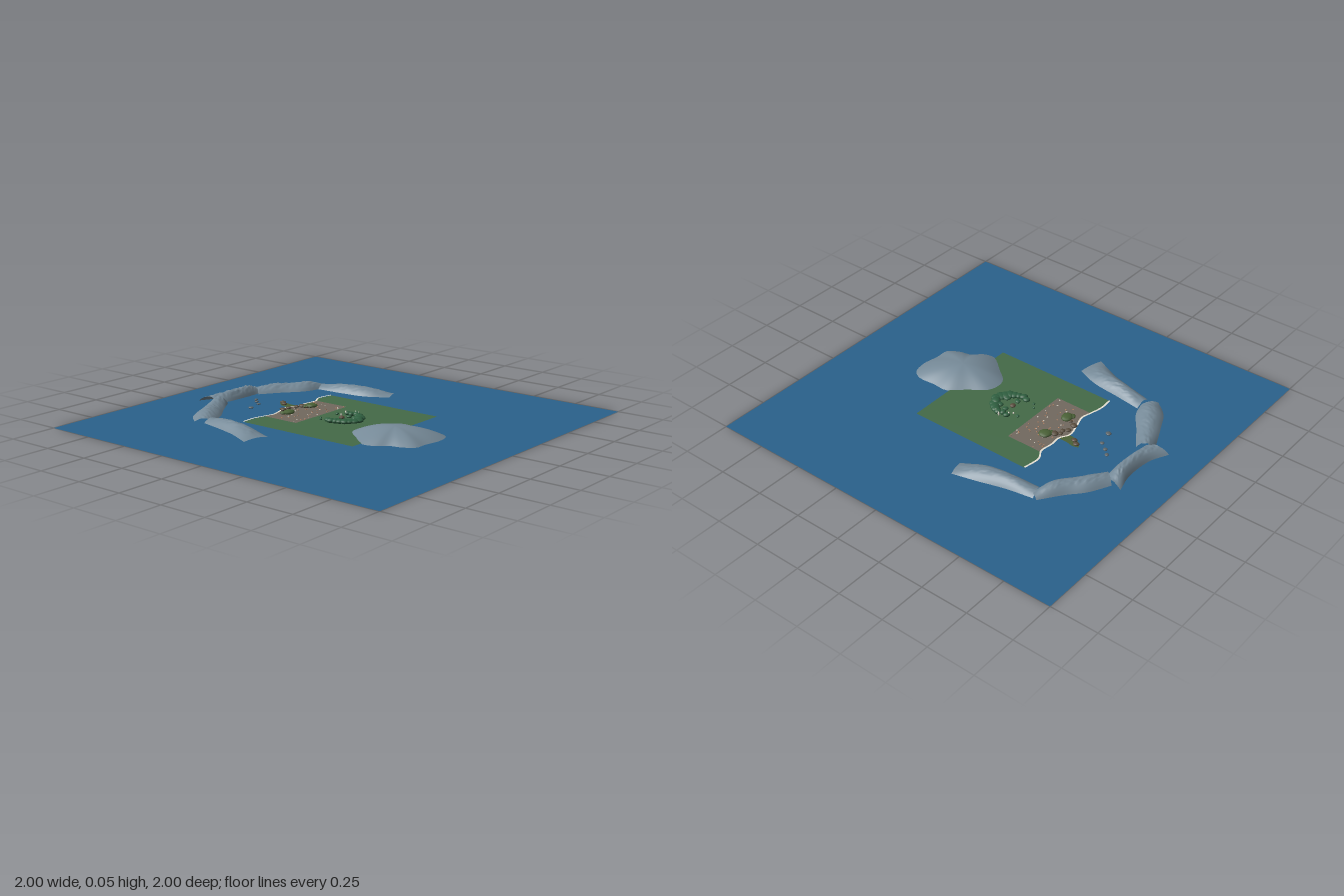
import * as THREE from 'three';

const paint = (name, color, side = THREE.FrontSide) => {
  const m = new THREE.MeshStandardMaterial({ color, side });
  m.name = name;
  return m;
};

export function createModel() {
  const model = new THREE.Group();
  model.name = 'coastalIsland';
  const D = THREE.DoubleSide;
  const sea = paint('seaBlue', 0x2a628c, D);
  const grass = paint('grassGreen', 0x446a48, D);
  const gravel = paint('gravelGrey', 0x72695f, D);
  const foam = paint('foamCream', 0xeee8da, D);
  const slate = paint('slateGrey', 0x768a98, D);
  const leaf = paint('bushGreen', 0x2f5f40);
  const moss = paint('mossGreen', 0x4a6136);
  const brown = paint('stoneBrown', 0x594c3c);
  const pebble = paint('pebbleGrey', 0x5c6468);
  const coral = paint('shellCoral', 0xc08a68);

  let seed = 7;
  const rand = () => (seed = (seed * 16807) % 2147483647) / 2147483647;

  const add = (name, geometry, material, parent = model) => {
    const mesh = new THREE.Mesh(geometry, material);
    mesh.name = name;
    parent.add(mesh);
    return mesh;
  };
  const group = (name) => {
    const g = new THREE.Group();
    g.name = name;
    model.add(g);
    return g;
  };
  // flat ground patch drawn in plan (x, z) at height y
  const patch = (name, points, y, material) => {
    const shape = new THREE.Shape(points.map(([x, z]) => new THREE.Vector2(x, -z)));
    return add(name, new THREE.ShapeGeometry(shape).rotateX(-Math.PI / 2).translate(0, y, 0), material);
  };
  // grid surface from rows of [x, y, z] points
  const surface = (rows) => {
    const n = rows[0].length, index = [];
    for (let i = 0; i < rows.length - 1; i++)
      for (let j = 0; j < n - 1; j++) {
        const a = i * n + j, b = a + n;
        index.push(a, a + 1, b, a + 1, b + 1, b);
      }
    const g = new THREE.BufferGeometry();
    g.setAttribute('position', new THREE.Float32BufferAttribute(rows.flat(2), 3));
    g.setIndex(index);
    g.computeVertexNormals();
    return g;
  };

  // sea
  add('sea', new THREE.PlaneGeometry(2, 2).rotateX(-Math.PI / 2), sea);

  // wavy shoreline shared by the lawn, beach and foam
  const shore = new THREE.CatmullRomCurve3([
    [-0.343, -0.347], [-0.27, -0.35], [-0.2, -0.335], [-0.145, -0.322], [-0.07, -0.342], [0.005, -0.358],
    [0.06, -0.332], [0.12, -0.334], [0.19, -0.326], [0.245, -0.353], [0.34, -0.342],
  ].map(([x, z]) => new THREE.Vector3(x, 0, z))).getPoints(60).map((p) => [p.x, p.z]);
  patch('lawn', [[-0.343, 0.34], ...shore, [0.34, 0.34]], 0.002, grass);
  const beachEdge = shore.filter(([x]) => x > -0.2 && x < 0.2);
  patch('beach', [[-0.2, -0.13], [-0.2, -0.335], ...beachEdge, [0.2, -0.328], [0.2, -0.13]], 0.0035, gravel);
  add('foamLine', surface([
    shore.map(([x, z]) => [x, 0.005, z - 0.006]),
    shore.map(([x, z]) => [x, 0.005, z + 0.004]),
  ]), foam);

  // shells scattered on the beach
  const shells = group('shells');
  for (let i = 0; i < 60; i++) {
    const s = 0.004 + 0.003 * rand();
    add('shell', new THREE.BoxGeometry(s, 0.002, s), i % 3 ? coral : foam, shells)
      .position.set(-0.19 + 0.38 * rand(), 0.0045, -0.315 + 0.18 * rand());
  }

  // ridges: outer and inner foot lines with crest heights
  const ridge = (name, outer, inner, heights) => {
    const line = (pts) => new THREE.CatmullRomCurve3(pts.map(([x, z]) => new THREE.Vector3(x, 0, z)));
    const a = line(outer), b = line(inner);
    const crest = new THREE.SplineCurve(heights.map((h, i) => new THREE.Vector2(i, h)));
    const rows = [];
    for (let i = 0; i <= 32; i++) {
      const t = i / 32, p = a.getPoint(t), q = b.getPoint(t), h = crest.getPoint(t).y, row = [];
      for (let j = 0; j <= 14; j++) {
        const u = j / 14;
        const rough = 1 + (u > 0.35 && u < 0.85 ? (rand() - 0.6) * 0.2 : 0);
        row.push([p.x + (q.x - p.x) * u, h * Math.sin(Math.PI * u) ** 0.85 * rough || 0, p.z + (q.z - p.z) * u]);
      }
      row[0][1] = row[14][1] = 0;
      rows.push(row);
    }
    add(name, surface(rows), slate);
  };
  ridge('rightOuterRidge',
    [[-0.6, -0.11], [-0.54, -0.24], [-0.505, -0.36], [-0.475, -0.49]],
    [[-0.465, -0.08], [-0.42, -0.2], [-0.4, -0.35], [-0.38, -0.49]], [0.008, 0.028, 0.037, 0.033, 0.018]);
  ridge('rightInnerRidge',
    [[-0.487, -0.545], [-0.42, -0.62], [-0.315, -0.674], [-0.155, -0.748]],
    [[-0.417, -0.487], [-0.34, -0.51], [-0.235, -0.585], [-0.118, -0.663]], [0.015, 0.032, 0.034, 0.028, 0.036]);
  ridge('backRidge',
    [[-0.17, -0.82], [-0.07, -0.775], [0.08, -0.765], [0.19, -0.79]],
    [[-0.155, -0.69], [-0.06, -0.68], [0.07, -0.675], [0.166, -0.68]], [0.03, 0.04, 0.045, 0.044, 0.02]);
  ridge('leftInnerRidge',
    [[0.19, -0.74], [0.3, -0.68], [0.38, -0.61], [0.49, -0.53]],
    [[0.12, -0.665], [0.22, -0.595], [0.33, -0.51], [0.465, -0.476]], [0.028, 0.039, 0.036, 0.04, 0.015]);
  ridge('leftOuterRidge',
    [[0.49, -0.51], [0.515, -0.37], [0.555, -0.23], [0.588, -0.1]],
    [[0.406, -0.487], [0.415, -0.34], [0.435, -0.2], [0.5, -0.08]], [0.018, 0.033, 0.038, 0.03, 0.008]);

  // headland: rounded hill inside a lobed outline
  const rim = new THREE.CatmullRomCurve3([
    [-0.1, 0.166], [-0.035, 0.185], [0.03, 0.27], [0.096, 0.35], [0.097, 0.44], [0.1, 0.53], [0.07, 0.582],
    [-0.01, 0.6], [-0.1, 0.585], [-0.17, 0.58], [-0.21, 0.52], [-0.225, 0.46], [-0.27, 0.41], [-0.28, 0.345],
    [-0.21, 0.25], [-0.15, 0.18],
  ].map(([x, z]) => new THREE.Vector3(x, 0, z)), true).getPoints(64);
  const hill = [];
  for (let i = 0; i <= 12; i++) {
    const t = i / 12;
    hill.push(rim.map((p) => [
      -0.08 + (p.x + 0.08) * t, 0.055 * (1 - t * t), 0.39 + (p.z - 0.39) * t]).reverse());
  }
  add('headland', surface(hill), slate);

  // rounded lumps for bushes, boulders and stones: [x, z, radius, height]
  const lumps = (name, list, material, detail, base = 0.003) => {
    const g = group(name + 's');
    for (const [x, z, r, h] of list) {
      const m = add(name, new THREE.IcosahedronGeometry(1, detail), material, g);
      m.scale.set(r, h / 2, r * (0.8 + 0.2 * rand()));
      m.rotation.y = rand() * 6;
      m.position.set(x, base + h / 2, z);
    }
  };

  // horseshoe of bushes around a central stone
  const bushes = [];
  for (let i = 0; i < 15; i++) {
    const a = -0.45 + (i / 14) * (Math.PI + 0.9), r = 0.075 + 0.015 * rand();
    const front = Math.max(0, Math.sin(a));
    bushes.push([Math.cos(a) * r, 0.015 + Math.sin(a) * r, 0.017 + 0.009 * front + 0.006 * rand(), 0.018 + 0.007 * rand()]);
  }
  bushes.push([-0.035, 0.065, 0.022, 0.018], [0.03, 0.06, 0.02, 0.017], [-0.045, 0.005, 0.016, 0.015],
    [0.04, 0.015, 0.015, 0.014], [-0.08, -0.07, 0.009, 0.01], [-0.055, -0.09, 0.007, 0.009], [0.05, -0.07, 0.01, 0.012]);
  lumps('bush', bushes, leaf, 3);
  lumps('blossom', [[0.07, -0.03, 0.005, 0.026], [0.1, 0.01, 0.005, 0.025], [0.045, -0.04, 0.005, 0.014],
    [0.09, 0.035, 0.004, 0.027]], foam, 1);

  // boulders on the beach and stones out to sea
  lumps('mossyBoulder', [[-0.09, -0.27, 0.036, 0.022], [-0.115, -0.285, 0.018, 0.016],
    [0.08, -0.265, 0.034, 0.022], [0.055, -0.285, 0.018, 0.016]], moss, 1);
  lumps('boulder', [[-0.06, -0.335, 0.019, 0.016], [-0.015, -0.335, 0.015, 0.013], [0.005, -0.315, 0.013, 0.012],
    [0.03, -0.32, 0.014, 0.013], [0.05, -0.3, 0.021, 0.018], [0.055, -0.275, 0.014, 0.014], [-0.08, -0.3, 0.012, 0.011],
    [0.0, 0.0, 0.016, 0.018], [0.05, -0.43, 0.017, 0.014], [0.03, -0.405, 0.016, 0.013]], brown, 1);
  lumps('seaStone', [[-0.12, -0.5, 0.016, 0.01], [-0.04, -0.52, 0.012, 0.009], [-0.01, -0.56, 0.012, 0.009],
    [0.02, -0.59, 0.013, 0.009]], pebble, 1, 0);

  // grassy spit behind the shore
  patch('spit', [[0.005, -0.35], [0.01, -0.4], [0.035, -0.44], [0.06, -0.45], [0.068, -0.42], [0.06, -0.38], [0.06, -0.335]],
    0.003, moss);

  return model;
}
